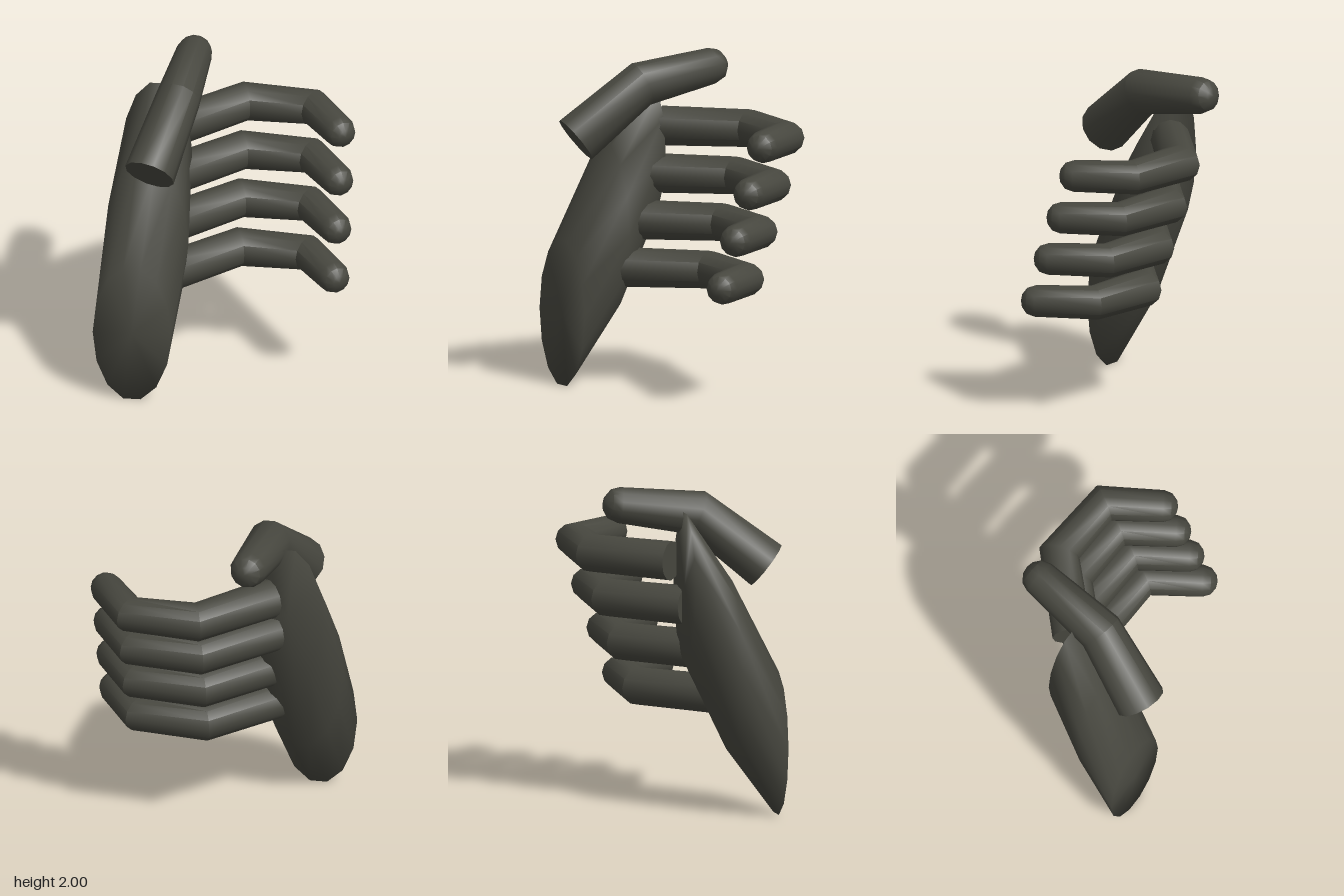
import * as THREE from 'three';
import { toCreasedNormals } from 'three/addons/utils/BufferGeometryUtils.js';

// Skin over equal-sized rings of points, closed by a fan at both ends
function loft(rings, startCentre, endCentre) {
  const n = rings[0].length;
  const points = [...rings.flat(), startCentre, endCentre];
  const start = rings.length * n, end = start + 1, last = start - n;
  const index = [];
  for (let j = 0; j < n; j++) {
    const k = (j + 1) % n;
    for (let i = 0; i < rings.length - 1; i++) {
      const a = i * n + j, b = i * n + k;
      index.push(a, b, b + n, a, b + n, a + n);
    }
    index.push(start, k, j, end, last + j, last + k);
  }
  const geometry = new THREE.BufferGeometry().setFromPoints(points);
  geometry.setIndex(index);
  geometry.computeVertexNormals();
  return geometry;
}

// Bent round limb with mitred joints, flat at the start and rounded at the tip
function limb(path, radii, sides = 12) {
  const p = path.map(c => new THREE.Vector3(...c));
  const dirs = p.slice(1).map((q, i) => q.clone().sub(p[i]).normalize());
  const u = dirs[0].clone().cross(dirs[1]).normalize();
  const ring = (centre, t, r, stretch = 1) => {
    const v = t.clone().cross(u);
    return Array.from({ length: sides }, (_, j) => {
      const a = j / sides * Math.PI * 2;
      return centre.clone()
        .addScaledVector(u, Math.cos(a) * r)
        .addScaledVector(v, Math.sin(a) * r * stretch);
    });
  };
  const rings = p.map((c, i) => {
    const before = dirs[Math.max(i - 1, 0)], after = dirs[Math.min(i, dirs.length - 1)];
    const t = before.clone().add(after).normalize();
    return ring(c, t, radii[i], 1 / t.dot(after));
  });
  const tip = p[p.length - 1], t = dirs[dirs.length - 1], r = radii[radii.length - 1];
  for (const a of [0.6, 1.15]) {
    rings.push(ring(tip.clone().addScaledVector(t, r * 0.9 * Math.sin(a)), t, r * Math.cos(a)));
  }
  return toCreasedNormals(loft(rings, p[0], tip.clone().addScaledVector(t, r * 0.9)), 0.65);
}

export function createModel() {
  const model = new THREE.Group();
  model.name = 'hand';
  const charcoal = new THREE.MeshStandardMaterial({ color: 0x47473f });
  charcoal.name = 'charcoal';
  const add = (geometry, name) => {
    const mesh = new THREE.Mesh(geometry, charcoal);
    mesh.name = name;
    model.add(mesh);
  };

  // Palm: slanted oval sections, back to front [x, y, z, x radius, y radius]
  const sections = [
    [-0.43, 1.41, -0.04, 0.21, 0.46],
    [-0.465, 0.92, 0.23, 0.255, 0.54],
    [-0.518, 0.44, 0.51, 0.237, 0.45],
  ];
  const rings = sections.map(([x, y, z, rx, ry]) => Array.from({ length: 14 }, (_, k) => {
    const a = -Math.PI / 2 + (k + 0.5) / 14 * Math.PI * 2;
    return new THREE.Vector3(x + Math.cos(a) * rx, y + Math.sin(a) * ry, z);
  }));
  const centre = ([x, y, z]) => new THREE.Vector3(x, y, z);
  add(loft(rings, centre(sections[0]), centre(sections[2])), 'palm');

  // Four curled fingers, each lower one shifted forward
  [1.55, 1.272, 0.997, 0.717].forEach((y, i) => {
    const dz = i * 0.098;
    add(limb([
      [-0.33, y, -0.09 + dz],
      [0.05, y, -0.465 + dz],
      [0.465, y, -0.437 + dz],
      [0.66, y, -0.137 + dz],
    ], [0.121, 0.115, 0.105, 0.098]), 'finger' + (i + 1));
  });

  // Thumb across the top
  add(limb([
    [-0.415, 1.505, 0.48],
    [-0.29, 1.825, 0.09],
    [-0.25, 1.895, -0.395],
  ], [0.155, 0.135, 0.11]), 'thumb');

  return model;
}
